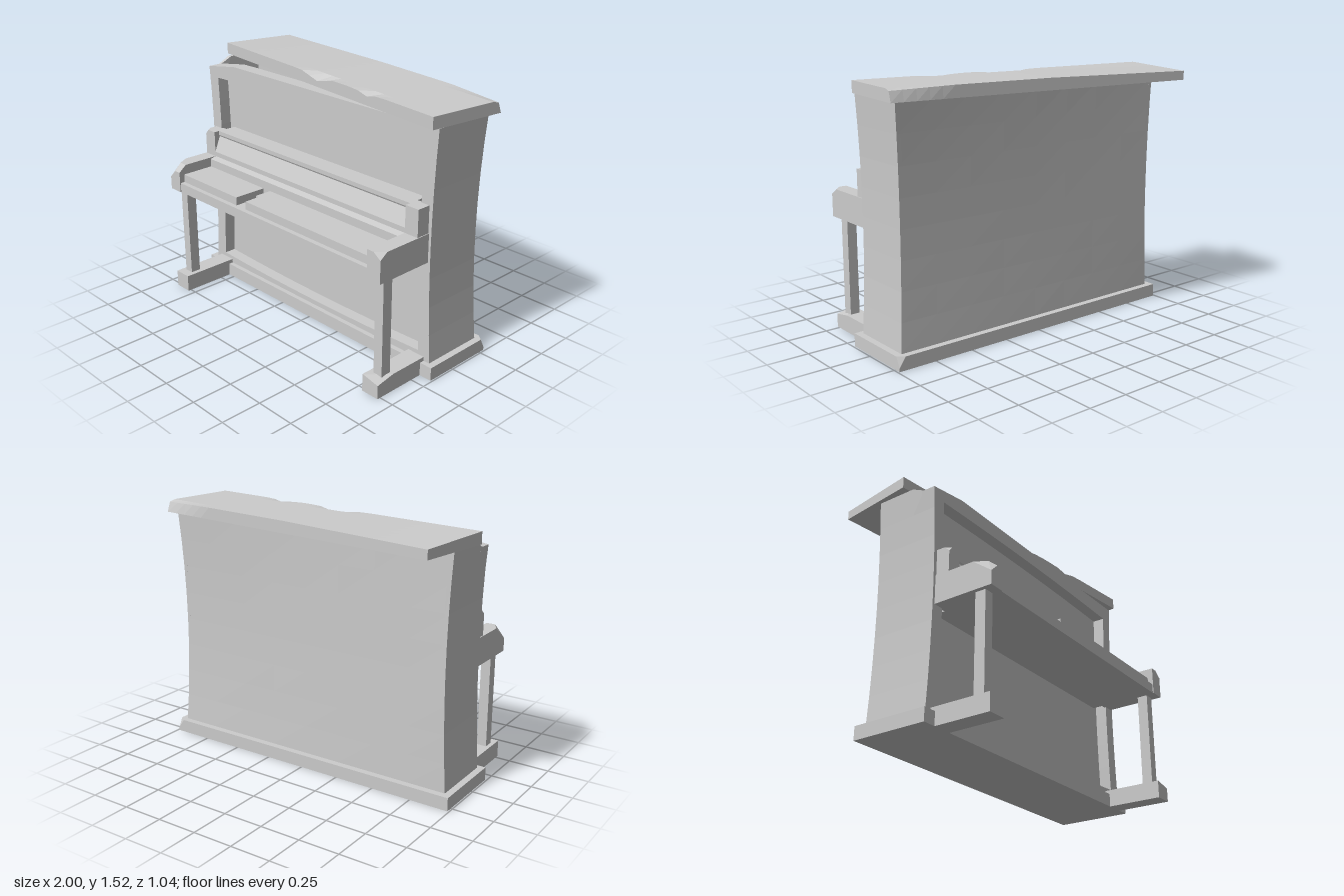
import * as THREE from 'three';
import { ConvexGeometry } from 'three/addons/geometries/ConvexGeometry.js';

const mat = new THREE.MeshStandardMaterial({ color: 0xcccccc, flatShading: true });

function add(group, name, geometry) {
  const mesh = new THREE.Mesh(geometry, mat);
  mesh.name = name;
  group.add(mesh);
  return mesh;
}

// Box given by its limits
function box(x0, x1, y0, y1, z0, z1, sx = 1, sy = 1, sz = 1) {
  return new THREE.BoxGeometry(x1 - x0, y1 - y0, z1 - z0, sx, sy, sz)
    .translate((x0 + x1) / 2, (y0 + y1) / 2, (z0 + z1) / 2);
}

// Move every vertex by a rule
function warp(geometry, rule) {
  const p = geometry.attributes.position, v = new THREE.Vector3();
  for (let i = 0; i < p.count; i++) {
    rule(v.fromBufferAttribute(p, i));
    p.setXYZ(i, v.x, v.y, v.z);
  }
  geometry.computeVertexNormals();
  return geometry;
}

// Box with one corner (signs c) broken off by the amounts d
function chipped(x0, x1, y0, y1, z0, z1, c, d) {
  const pts = [];
  for (const i of [-1, 1]) for (const j of [-1, 1]) for (const k of [-1, 1]) {
    const p = new THREE.Vector3(i < 0 ? x0 : x1, j < 0 ? y0 : y1, k < 0 ? z0 : z1);
    if (i === c[0] && j === c[1] && k === c[2]) {
      pts.push(p.clone().setX(p.x - i * d[0]), p.clone().setY(p.y - j * d[1]), p.clone().setZ(p.z - k * d[2]));
    } else pts.push(p);
  }
  return new ConvexGeometry(pts);
}

// Extrude a (z, y) profile along x
function alongX(profile, x0, x1) {
  const shape = new THREE.Shape(profile.map(([z, y]) => new THREE.Vector2(-z, y)));
  return new THREE.ExtrudeGeometry(shape, { depth: x1 - x0, bevelEnabled: false })
    .rotateY(Math.PI / 2).translate(x0, 0, 0);
}

// Old case: waisted sides, hollowed back, worn front top corner
function age(v) {
  const k = Math.max(0, 1 - ((v.y - 0.765) / 0.685) ** 2);
  if (v.z < -0.2) v.z += 0.02 * k * (v.x + 0.95) / 1.9;
  if (v.y > 1.44 && v.x < -0.7 && v.z > 0.03) v.y -= 0.04 * (-v.x - 0.7) / 0.25;
  v.x *= 1 - 0.026 * k;
}

function buildCase() {
  const g = new THREE.Group();
  g.name = 'case';

  // Front frame around one tall opening
  const outline = [], n = 8;
  for (let i = 0; i <= n; i++) outline.push(new THREE.Vector2(0.95, 0.08 + 1.37 * i / n));
  outline.push(new THREE.Vector2(-0.7, 1.45));
  for (let i = n; i >= 0; i--) outline.push(new THREE.Vector2(-0.95, 0.08 + 1.37 * i / n));
  const frame = new THREE.Shape(outline);
  const hole = [];
  for (let i = 0; i <= n; i++) {
    const x = -0.87 + 1.74 * i / n;
    hole.push(new THREE.Vector2(x, 0.11 + 0.02 * (x / 0.87) ** 2));
  }
  for (let i = 1; i < n; i++) hole.push(new THREE.Vector2(0.87, 0.13 + 1.22 * i / n));
  for (let i = n; i >= 0; i--) {
    const x = -0.87 + 1.74 * i / n;
    hole.push(new THREE.Vector2(x, 1.365 - 0.015 * (x / 0.87) ** 2));
  }
  for (let i = n - 1; i > 0; i--) hole.push(new THREE.Vector2(-0.87, 0.13 + 1.22 * i / n));
  frame.holes.push(new THREE.Path(hole));
  const frameGeo = new THREE.ExtrudeGeometry(frame, { depth: 0.075, bevelEnabled: false }).translate(0, 0, 0.075);
  add(g, 'frontFrame', warp(frameGeo, age));

  add(g, 'frontPanel', warp(box(-0.95, 0.95, 0.08, 1.45, 0.06, 0.075, 16, 8, 1), age));
  add(g, 'backPanel', warp(box(-0.95, 0.95, 0.08, 1.45, -0.25, -0.225, 8, 8, 1), age));
  for (const s of [-1, 1]) {
    const x0 = s < 0 ? -0.95 : 0.925;
    add(g, s < 0 ? 'rightSide' : 'leftSide', warp(box(x0, x0 + 0.025, 0.08, 1.45, -0.25, 0.075, 1, 8, 4), age));
  }
  return g;
}

function buildKeyboard() {
  const g = new THREE.Group();
  g.name = 'keyboard';
  const w = 0.815;
  add(g, 'keybed', box(-w, w, 0.69, 0.75, 0.075, 0.515));

  // Keys in two runs with a ragged gap between them
  add(g, 'keysRight', box(-w, -0.295, 0.75, 0.8, 0.27, 0.485));
  add(g, 'keysLeft', box(-0.21, w, 0.75, 0.8, 0.27, 0.485));
  add(g, 'brokenKey', box(-0.235, -0.21, 0.75, 0.8, 0.27, 0.385));

  // Fallboard with sloping face and a lip on top
  add(g, 'fallboard', alongX([[0.075, 0.75], [0.275, 0.75], [0.275, 0.85], [0.235, 0.86],
    [0.235, 0.89], [0.195, 0.985], [0.2, 0.995], [0.2, 1.02], [0.075, 1.02]], -w, w));

  // Cheeks, each worn at the outer front corner
  const rightCheek = [[0.69, 0.14], [0.86, 0.14], [0.69, 0.52]]
    .flatMap(([y, z]) => [-0.91, -w].map((x) => new THREE.Vector3(x, y, z)));
  for (const p of [[-w, 0.86, 0.47], [-w, 0.82, 0.52], [-0.87, 0.86, 0.47], [-0.86, 0.82, 0.52],
    [-0.91, 0.77, 0.52], [-0.91, 0.86, 0.4]]) rightCheek.push(new THREE.Vector3(...p));
  add(g, 'rightCheek', new ConvexGeometry(rightCheek));
  add(g, 'leftCheek', chipped(w, 0.91, 0.69, 0.86, 0.14, 0.52, [1, 1, 1], [0.05, 0.035, 0.05]));
  add(g, 'rightCheekBlock', chipped(-0.905, -w, 0.86, 1.02, 0.14, 0.235, [-1, 1, 1], [0.025, 0.03, 0.035]));
  add(g, 'leftCheekBlock', box(w, 0.905, 0.86, 1.02, 0.14, 0.235));
  return g;
}

// Lid knocked askew, with notches in the front edge and a sagging back
function buildLid() {
  const L = 1.953, D = 0.484;
  const geo = warp(new THREE.BoxGeometry(L, 0.07, D, 26, 1, 8), (v) => {
    if (v.y < 0) return;
    const { x, z } = v;
    const notch = (c, r, d) => d * Math.max(0, 1 - Math.abs(x - c) / r);
    if (z > D / 2 - 0.01) v.y -= notch(0, 0.16, 0.035) + notch(0.45, 0.09, 0.02);
    v.y -= 0.016 * Math.max(0, -x) * Math.max(0, 0.5 - z / D);
    if (z < -D / 2 + 0.01 && x > 0.6) {
      v.z += 0.02 * (x - 0.6) / 0.37;
      v.y -= 0.01 * (x - 0.6) / 0.37;
    }
  });
  const lid = new THREE.Mesh(geo, mat);
  lid.name = 'lid';
  lid.position.set(0, 1.485, -0.163);
  lid.rotation.y = -0.118;
  return lid;
}

export function createModel() {
  const model = new THREE.Group();
  model.name = 'uprightPiano';

  add(model, 'base', chipped(-0.99, 0.99, 0, 0.08, -0.29, 0.18, [1, 1, -1], [0.04, 0.06, 0.03]));
  model.add(buildCase(), buildKeyboard(), buildLid());

  // Legs and feet
  for (const s of [-1, 1]) {
    const side = s < 0 ? 'right' : 'left';
    const span = (a, b) => (s < 0 ? [-b, -a] : [a, b]);
    add(model, side + 'Leg', box(...span(0.825, 0.885), 0.09, 0.7, 0.4, 0.465));
    add(model, side + 'Foot', s < 0
      ? box(-0.91, -0.795, 0, 0.105, 0.14, 0.52)
      : chipped(0.795, 0.91, 0, 0.105, 0.14, 0.52, [1, 1, 1], [0.11, 0.022, 0.12]));
  }
  return model;
}
